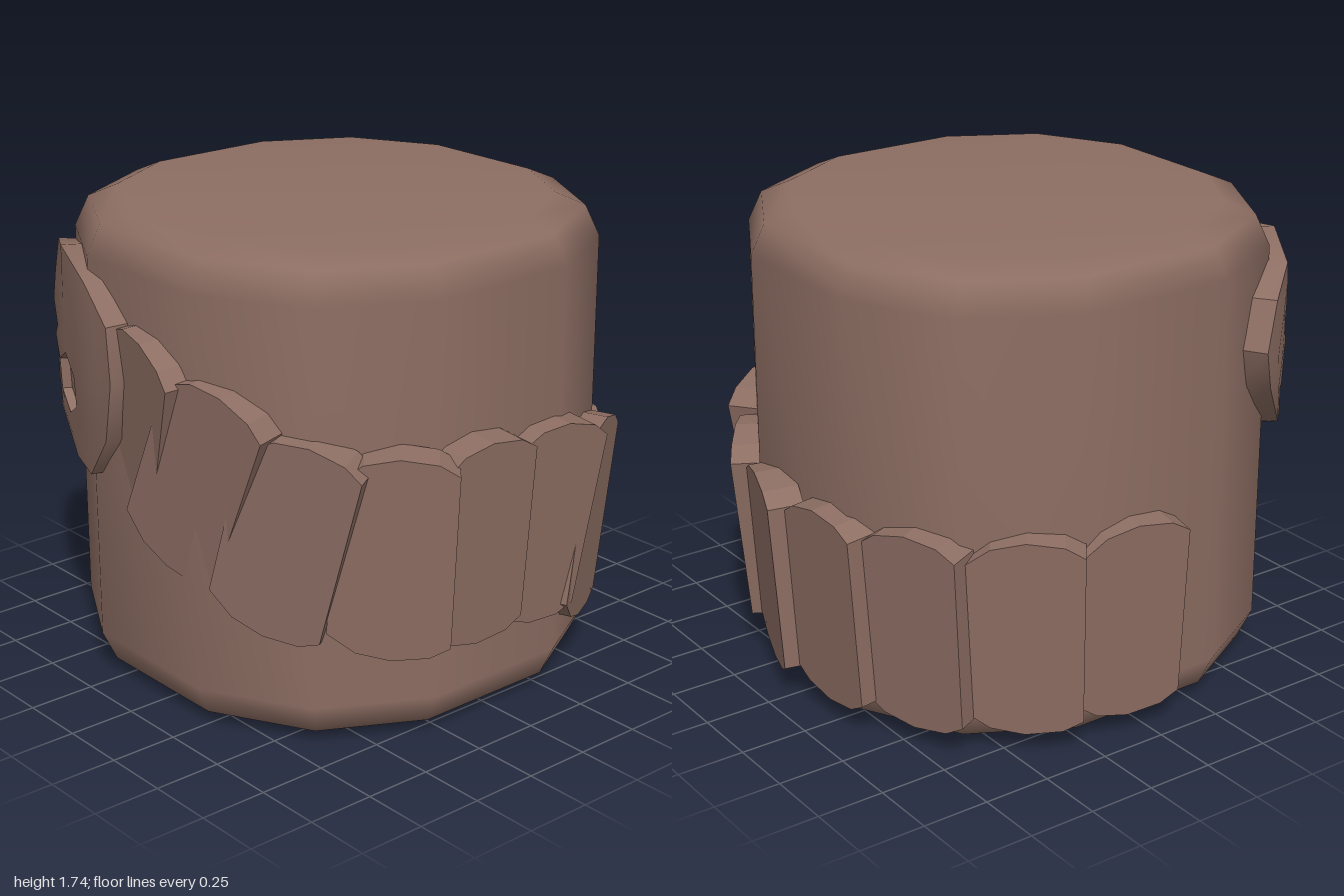
import * as THREE from 'three';
import { toCreasedNormals } from 'three/addons/utils/BufferGeometryUtils.js';

const CX = -0.027, CZ = 0.023; // axis of the drum

// Skin a list of closed loops of [x, y, z] points
function skin(loops) {
  const n = loops[0].length, index = [];
  for (let r = 0; r < loops.length - 1; r++) {
    for (let i = 0; i < n; i++) {
      const j = (i + 1) % n, a = r * n, b = a + n;
      index.push(a + i, b + i, b + j, a + i, b + j, a + j);
    }
  }
  const geo = new THREE.BufferGeometry();
  geo.setAttribute('position', new THREE.Float32BufferAttribute(loops.flat(2), 3));
  geo.setIndex(index);
  geo.computeVertexNormals();
  return geo;
}

// Twelve-sided drum with rounded rims
function drumGeometry() {
  const section = [];
  for (let q = 0; q < 4; q++) {
    for (const [x, z] of [[0.868, 0.295], [0.665, 0.665], [0.29, 0.868]]) {
      const c = Math.round(Math.cos(q * Math.PI / 2)), s = Math.round(Math.sin(q * Math.PI / 2));
      section.push([x * c - z * s, x * s + z * c]);
    }
  }
  const profile = [[0, 0], [0.83, 0], [0.945, 0.045], [1, 0.155], [1, 1.585], [0.945, 1.695], [0.83, 1.74], [0, 1.74]];
  return skin(profile.map(([k, y]) => section.map(([x, z]) => [CX + x * k, y, CZ + z * k])));
}

// Curved end plate with a recessed six-sided hole
function endPlateGeometry() {
  const outline = [[-0.52, 1.58], [-0.25, 1.52], [-0.1, 1.4], [-0.08, 1.2], [-0.15, 0.97], [-0.29, 0.8],
    [-0.47, 0.8], [-0.71, 0.91], [-0.85, 1.12], [-0.88, 1.27], [-0.84, 1.44], [-0.75, 1.53]];
  const hole = outline.map((_, i) => {
    const a = Math.PI / 2 - i * Math.PI / 6, r = i % 2 ? 0.1 : 0.115;
    return [-0.525 + r * Math.cos(a), 1.065 + r * Math.sin(a)];
  });
  const bend = [[-0.88, 0.53], [-0.8, 0.67], [-0.67, 0.81], [-0.3, 0.95], [-0.08, 0.98]];
  const depthAt = (x) => {
    let k = 0;
    while (k < bend.length - 2 && x > bend[k + 1][0]) k++;
    const [[x0, z0], [x1, z1]] = [bend[k], bend[k + 1]];
    return z0 + (z1 - z0) * (x - x0) / (x1 - x0);
  };
  const place = ([x, y], sink) => {
    const z = depthAt(x) + 0.05 * Math.min(0, y - 1.2);
    const d = Math.hypot(x - CX, z - CZ), k = 1 - sink / d;
    return [CX + (x - CX) * k, y, CZ + (z - CZ) * k];
  };
  const ring = (t, sink) => outline.map(([x, y], i) =>
    place([x + (hole[i][0] - x) * t, y + (hole[i][1] - y) * t], sink));
  const floor = place([-0.525, 1.065], 0.035);
  const loops = [ring(0, 0.13), ring(0, 0), ring(0.25, 0), ring(0.5, 0), ring(0.75, 0),
    ring(1, 0), ring(1, 0.035), outline.map(() => floor)];
  return toCreasedNormals(skin(loops), 0.5);
}

// Long plate with blunt rounded ends; origin at its upper trailing corner
function plateGeometry() {
  const half = [[0, 0.32], [-0.07, 0.36], [-0.2, 0.375], [-0.32, 0.35], [-0.42, 0.28]];
  const pts = [...half, ...half.map(([u, v]) => [u, -v]).reverse()];
  const shape = new THREE.Shape(pts.map(([u, v]) => new THREE.Vector2(u, v - 0.32)));
  const geo = new THREE.ExtrudeGeometry(shape, { depth: 0.13, bevelEnabled: false });
  geo.translate(0, 0, -0.13);
  return geo;
}

export function createModel() {
  const model = new THREE.Group();
  const brown = new THREE.MeshStandardMaterial({ color: 0x8d6e63 });
  brown.name = 'brown';

  const add = (name, geo) => {
    const mesh = new THREE.Mesh(geo, brown);
    mesh.name = name;
    model.add(mesh);
    return mesh;
  };
  add('drum', drumGeometry());
  add('endPlate', endPlateGeometry());

  // Overlapping band: raised corner x and z, middle height, tilt in degrees
  const plates = [
    [0.235, 0.98, 0.96, 21], [0.57, 0.85, 0.845, 23], [0.83, 0.64, 0.715, 15], [1.0, 0.36, 0.71, 2],
    [0.96, -0.03, 0.71, 1], [0.92, -0.42, 0.65, 9], [0.68, -0.74, 0.55, 9], [0.35, -0.92, 0.47, 6],
    [-0.03, -0.99, 0.445, 2], [-0.42, -0.91, 0.445, 0], [-0.76, -0.71, 0.445, 0],
    [-0.98, -0.33, 0.445, 0], [-1.0, 0.1, 0.445, 0],
  ];
  const geo = plateGeometry();
  let prev = [-0.09, 0.98];
  plates.forEach(([x, z, mid, tilt], i) => {
    const angle = THREE.MathUtils.degToRad(tilt);
    // Each plate starts tucked under the raised end of the one before
    const sx = CX + (prev[0] - CX) * 0.945, sz = CZ + (prev[1] - CZ) * 0.945;
    const along = new THREE.Vector3(x - sx, 0, z - sz).normalize();
    const out = new THREE.Vector3().crossVectors(along, new THREE.Vector3(0, 1, 0));
    const up = new THREE.Vector3(0, 1, 0).addScaledVector(out, 0.07).normalize();
    out.crossVectors(along, up);
    const plate = add('bandPlate' + (i + 1), geo);
    plate.quaternion.setFromRotationMatrix(new THREE.Matrix4().makeBasis(along, up, out));
    plate.rotateZ(-angle);
    plate.position.set(x, mid + 0.32 * Math.cos(angle), z);
    prev = [x, z];
  });
  return model;
}
